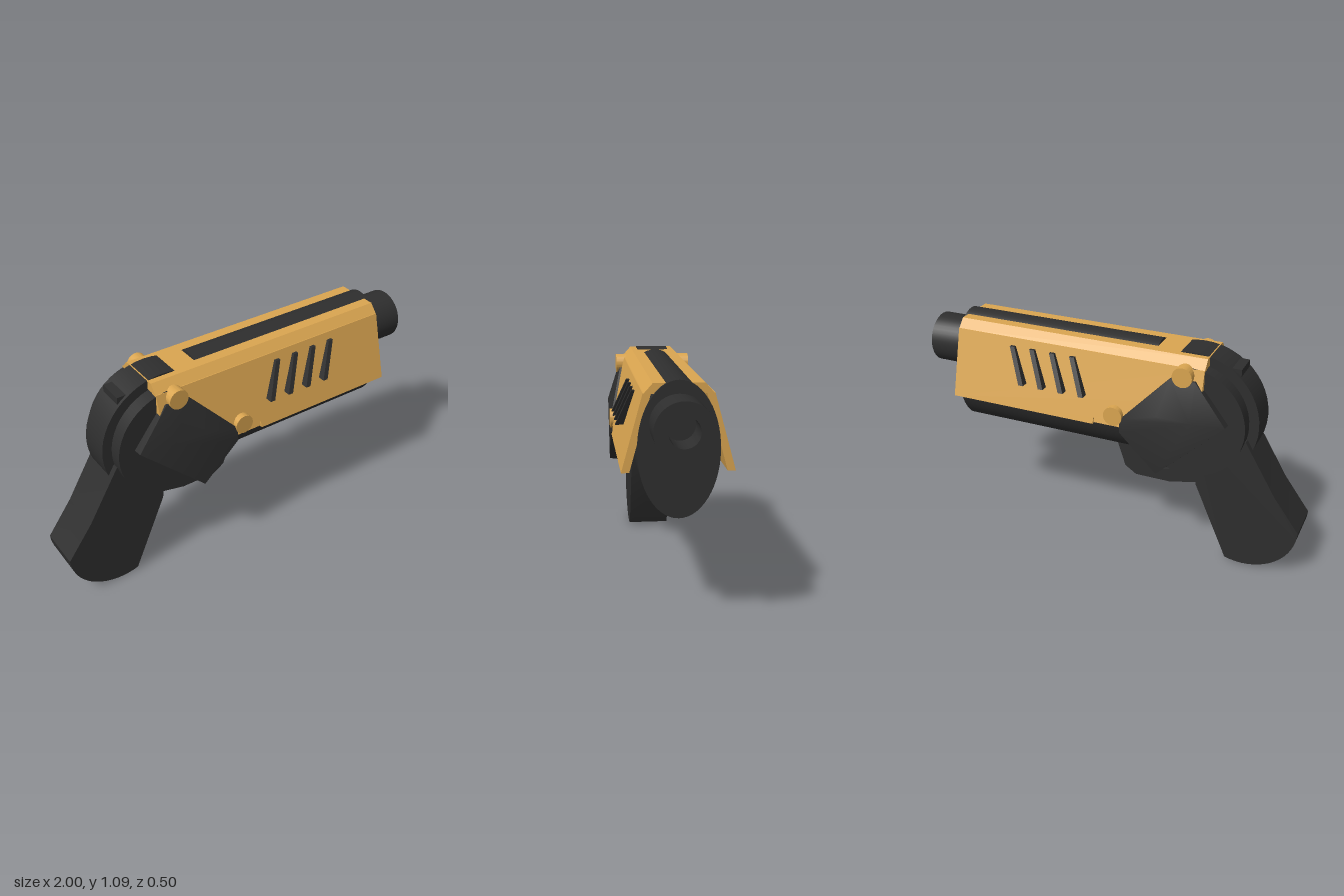
import * as THREE from 'three';
import { toCreasedNormals } from 'three/addons/utils/BufferGeometryUtils.js';
import { ConvexGeometry } from 'three/addons/geometries/ConvexGeometry.js';

const dark = new THREE.MeshStandardMaterial({ color: 0x2e2e2e });
const gold = new THREE.MeshStandardMaterial({ color: 0xdaa550 });

const polygon = (pts) => new THREE.Shape(pts.map(([x, y]) => new THREE.Vector2(x, y)));

// Flat outline in the side plane, given thickness centred on z
function slab(shape, depth) {
  const g = new THREE.ExtrudeGeometry(shape, { depth, bevelEnabled: false, curveSegments: 16 });
  return g.translate(0, 0, -depth / 2);
}

// Outer z of the leaning shell wall at a given height
const wallZ = (y) => 0.245 - (y - 0.7) * 0.275;

// Lean a slab so that it follows the shell wall, shifted outward by offset
function lean(g, offset) {
  const p = g.attributes.position;
  for (let i = 0; i < p.count; i++) p.setZ(i, p.getZ(i) + wallZ(p.getY(i)) + offset);
  g.computeVertexNormals();
  return g;
}

export function createModel() {
  const model = new THREE.Group();
  const add = (name, geometry, material = dark, parent = model) => {
    const mesh = new THREE.Mesh(toCreasedNormals(geometry, 0.5), material);
    mesh.name = name;
    parent.add(mesh);
    return mesh;
  };
  const disc = (r, width, x, y) =>
    new THREE.CylinderGeometry(r, r, width, 48).rotateX(Math.PI / 2).translate(x, y, 0);

  // Oval body
  add('body', new THREE.CylinderGeometry(1, 1, 1.06, 56).rotateZ(-Math.PI / 2)
    .scale(1, 0.298, 0.177).translate(0.29, 0.797, 0));

  // Hollow muzzle
  const profile = [[0, 0.7], [0.127, 0.7], [0.127, 1], [0.067, 1], [0.067, 0.84], [0, 0.84]];
  add('muzzle', new THREE.LatheGeometry(profile.map(([x, y]) => new THREE.Vector2(x, y)), 40)
    .rotateZ(-Math.PI / 2).translate(0, 0.91, 0));

  // Shell roof with chamfered edges
  const roof = polygon([[-0.15, 1.035], [0.15, 1.035], [0.11, 1.08], [-0.11, 1.08]]);
  add('shellRoof', slab(roof, 1.31).rotateY(Math.PI / 2).translate(0.15, 0, 0), gold);

  // Shell wall, fretted slashes and hinge plate on one side
  const side = (sign) => {
    const group = new THREE.Group();
    group.name = sign > 0 ? 'leftSide' : 'rightSide';
    const wall = polygon([[-0.505, 1.037], [-0.505, 0.94], [-0.4, 0.88], [-0.14, 0.74],
      [0.02, 0.73], [0.02, 0.7], [0.805, 0.7], [0.805, 1.037]]);
    const parts = [['shellWall', lean(slab(wall, 0.035), -0.0175), gold]];
    const tab = polygon([[-0.13, 0.705], [0.02, 0.705], [0.02, 0.76], [-0.13, 0.76]]);
    parts.push(['shellTab', lean(slab(tab, 0.025), -0.022), gold]);
    for (let i = 0; i < 4; i++) {
      const x = 0.07 + i * 0.109;
      const slash = slab(polygon([[x, 0.83], [x + 0.026, 0.83], [x + 0.102, 1], [x + 0.076, 1]]), 0.03);
      const p = slash.attributes.position;
      // each slash stands out further at its lower end
      for (let k = 0; k < p.count; k++) {
        if (p.getZ(k) > 0) p.setZ(k, 0.015 + (1 - p.getY(k)) * 0.13);
      }
      parts.push(['slash', lean(slash, 0), dark]);
    }
    const corners = [
      // outer face, bevelled toward the top and the rear
      [-0.63, 0.79, 0.2], [-0.47, 0.8, 0.238], [-0.3, 0.8, 0.238], [-0.12, 0.75, 0.243],
      [-0.12, 0.68, 0.243], [-0.31, 0.495, 0.24], [-0.47, 0.985, 0.178], [-0.35, 0.985, 0.178],
      // inner face
      [-0.63, 0.78, 0.12], [-0.325, 0.475, 0.12], [-0.31, 0.48, 0.12], [-0.12, 0.68, 0.12],
      [-0.12, 0.76, 0.12], [-0.35, 0.985, 0.1], [-0.47, 0.985, 0.1],
    ];
    parts.push(['hingePlate', new ConvexGeometry(corners.map((c) => new THREE.Vector3(...c))), dark]);
    for (const [name, g, material] of parts) {
      if (sign < 0) {
        // mirror, and swap corners so that faces keep facing outward
        const m = g.index ? g.toNonIndexed() : g;
        m.scale(1, 1, -1);
        for (const a of Object.values(m.attributes)) {
          for (let i = 0; i < a.count; i += 3) {
            for (let c = 0; c < a.itemSize; c++) {
              const t = a.getComponent(i, c);
              a.setComponent(i, c, a.getComponent(i + 1, c));
              a.setComponent(i + 1, c, t);
            }
          }
        }
        add(name, m, material, group);
      } else add(name, g, material, group);
    }
    model.add(group);
  };
  side(1);
  side(-1);

  // Pins through the shell
  add('upperPin', disc(0.049, 0.39, -0.41, 1.003), gold);
  add('lowerPin', disc(0.048, 0.495, -0.085, 0.762), gold);

  // Pivot discs and rear block
  add('pivotDisc', disc(0.283, 0.3, -0.43, 0.757));
  add('centreDisc', disc(0.331, 0.16, -0.43, 0.757));
  add('rearBlock', new THREE.BoxGeometry(0.25, 0.2, 0.13).translate(-0.53, 0.935, 0));

  // Grip with rounded butt
  const grip = polygon([[-0.45, 0.7], [-0.71, 0.69], [-0.87, 0.425], [-1, 0.25]]);
  grip.bezierCurveTo(-0.99, 0.06, -0.8, -0.035, -0.645, 0.015);
  grip.lineTo(-0.475, 0.4);
  add('grip', slab(grip, 0.22));

  // Trigger guard and trigger
  const guard = polygon([[-0.5, 0.375], [-0.47, 0.37], [-0.31, 0.335], [-0.125, 0.335],
    [-0.065, 0.375], [-0.02, 0.51], [-0.02, 0.56], [-0.5, 0.56]]);
  const opening = new THREE.Path();
  opening.moveTo(-0.13, 0.53);
  opening.bezierCurveTo(-0.13, 0.37, -0.3, 0.37, -0.36, 0.45);
  opening.lineTo(-0.36, 0.53);
  guard.holes.push(opening);
  add('triggerGuard', slab(guard, 0.068));
  add('trigger', slab(polygon([[-0.4, 0.42], [-0.37, 0.425], [-0.3, 0.48], [-0.24, 0.54],
    [-0.38, 0.54]]), 0.06));

  return model;
}
